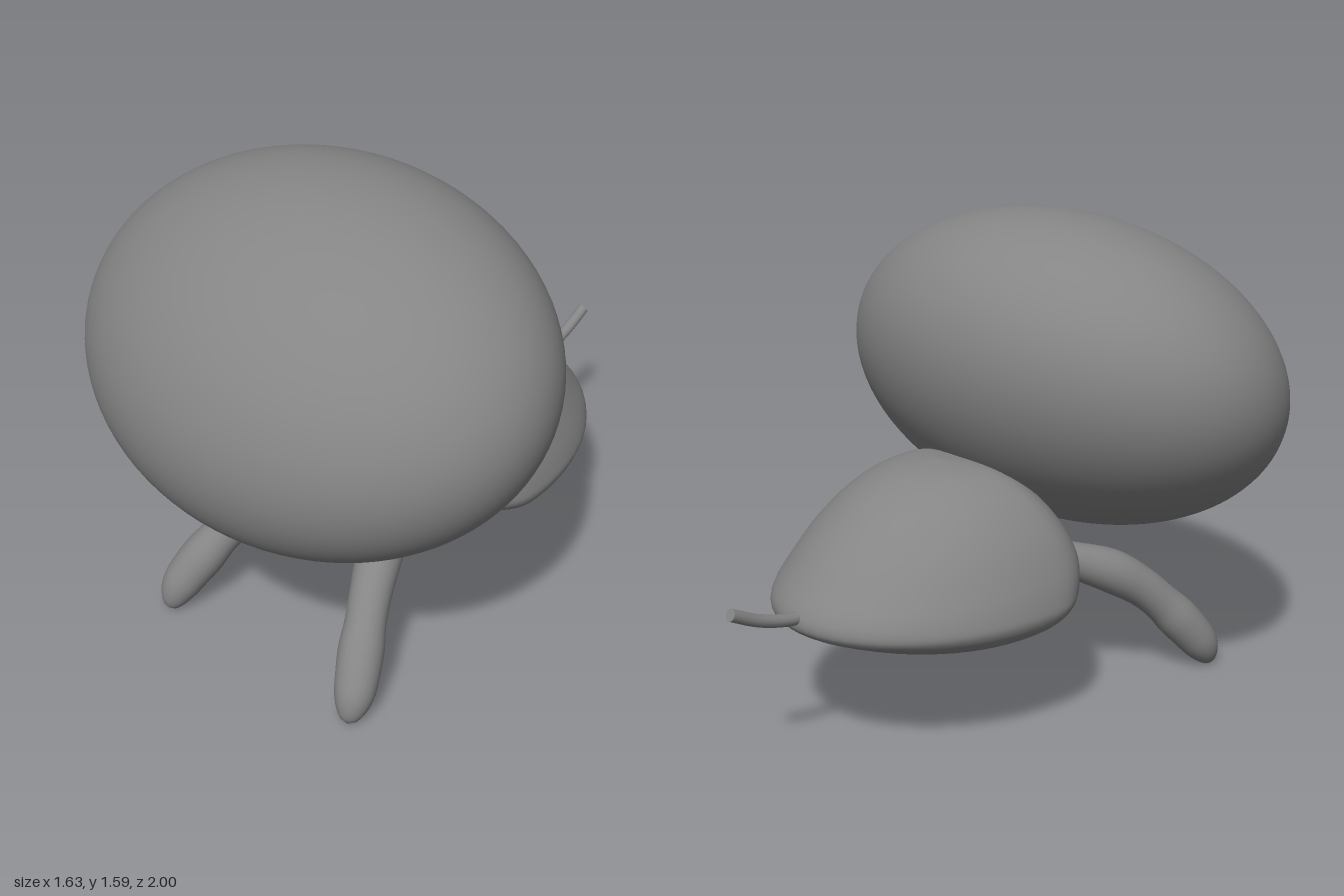
import * as THREE from 'three';
import { mergeVertices } from 'three/addons/utils/BufferGeometryUtils.js';

const material = new THREE.MeshStandardMaterial({ color: 0x858585 });

function part(name, geometry, parent) {
  const mesh = new THREE.Mesh(geometry, material);
  mesh.name = name;
  parent.add(mesh);
  return mesh;
}

// Weld the seams so the shading runs smoothly all the way round
function smooth(geometry) {
  geometry.deleteAttribute('uv');
  geometry.deleteAttribute('normal');
  const welded = mergeVertices(geometry, 1e-5);
  welded.computeVertexNormals();
  return welded;
}

// Stack of egg-shaped rings: [y, front z, back z, half width]
function eggLoft(rings, rows = 48, cols = 64) {
  const edge = new THREE.CatmullRomCurve3(rings.map(([y, f, b]) => new THREE.Vector3(f, y, b)));
  const width = new THREE.CatmullRomCurve3(rings.map(([y, , , w]) => new THREE.Vector3(w, y, 0)));
  const positions = [], index = [];
  for (let i = 0; i <= rows; i++) {
    const { x: front, y, z: back } = edge.getPoint(i / rows);
    const w = Math.max(0, width.getPoint(i / rows).x);
    const mid = front - (front - back) * 0.28; // widest place of the ring
    for (let j = 0; j <= cols; j++) {
      const t = (j / cols) * Math.PI * 2;
      const s = Math.sin(t), c = Math.cos(t);
      const p = c > 0 ? 0.8 : 1; // blunter at the front
      const x = w * Math.sign(s) * Math.abs(s) ** p;
      const z = c > 0 ? mid + (front - mid) * c ** p : mid + (mid - back) * c;
      positions.push(x, y, z);
      if (i < rows && j < cols) {
        const a = i * (cols + 1) + j, d = a + cols + 1;
        index.push(a, a + 1, d + 1, a, d + 1, d);
      }
    }
  }
  const geometry = new THREE.BufferGeometry();
  geometry.setAttribute('position', new THREE.Float32BufferAttribute(positions, 3));
  geometry.setIndex(index);
  return smooth(geometry);
}

// Tube along points [x, y, z, radius], rounded off at the far end
function taperedLimb(points, rows = 64, cols = 24) {
  const path = new THREE.CatmullRomCurve3(points.map(([x, y, z]) => new THREE.Vector3(x, y, z)));
  const radii = new THREE.CatmullRomCurve3(points.map((p, i) => new THREE.Vector3(p[3], i, 0)));
  const geometry = new THREE.TubeGeometry(path, rows, 1, cols);
  const pos = geometry.attributes.position, v = new THREE.Vector3();
  for (let i = 0; i <= rows; i++) {
    const u = i / rows, centre = path.getPointAt(u);
    const k = Math.max(0, (u - 0.86) / 0.14);
    const r = radii.getPoint(path.getUtoTmapping(u)).x * Math.sqrt(Math.max(0, 1 - k * k));
    for (let j = 0; j <= cols; j++) {
      const n = i * (cols + 1) + j;
      v.fromBufferAttribute(pos, n).sub(centre).multiplyScalar(r).add(centre);
      pos.setXYZ(n, v.x, v.y, v.z);
    }
  }
  return smooth(geometry);
}

export function createModel() {
  const model = new THREE.Group();
  model.name = 'creature';

  // Large tilted ellipsoid head
  const head = part('head', new THREE.SphereGeometry(1, 96, 64), model);
  head.scale.set(0.815, 0.5, 0.629);
  head.position.set(0, 1.053, 0.402);
  head.rotation.x = 0.538;

  // Domed body with a nearly flat belly
  part('body', eggLoft([
    [0.337, -0.29, -0.29, 0],
    [0.341, -0.16, -0.42, 0.26],
    [0.357, -0.06, -0.56, 0.38],
    [0.387, 0.06, -0.67, 0.44],
    [0.435, 0.13, -0.755, 0.47],
    [0.48, 0.155, -0.755, 0.465],
    [0.565, 0.165, -0.69, 0.437],
    [0.67, 0.12, -0.586, 0.38],
    [0.77, 0.04, -0.45, 0.285],
    [0.83, -0.05, -0.31, 0.165],
    [0.851, -0.17, -0.17, 0],
  ]), model);

  // Two-segment front legs, pinched at the hip and the knee
  for (const [side, name] of [[1, 'leftLeg'], [-1, 'rightLeg']]) {
    part(name, taperedLimb([
      [0.12, 0.51, 0.1, 0.04],
      [0.145, 0.48, 0.18, 0.048],
      [0.185, 0.44, 0.27, 0.062],
      [0.24, 0.385, 0.39, 0.074],
      [0.29, 0.315, 0.49, 0.068],
      [0.325, 0.25, 0.555, 0.066],
      [0.355, 0.185, 0.61, 0.073],
      [0.393, 0.09, 0.682, 0.066],
      [0.408, 0.002, 0.733, 0.056],
    ].map(([x, ...rest]) => [x * side, ...rest])), model);
  }

  // Thin upturned tail with a flat end
  const tailPath = new THREE.CatmullRomCurve3([
    [0, 0.47, -0.7], [0, 0.48, -0.79], [0, 0.508, -0.89], [0, 0.555, -0.99],
  ].map((p) => new THREE.Vector3(...p)));
  part('tail', new THREE.TubeGeometry(tailPath, 24, 0.02, 16), model);
  const tailEnd = part('tailEnd', new THREE.CircleGeometry(0.02, 16), model);
  tailEnd.position.copy(tailPath.getPoint(1));
  tailEnd.lookAt(tailPath.getPoint(1).add(tailPath.getTangent(1)));

  return model;
}
